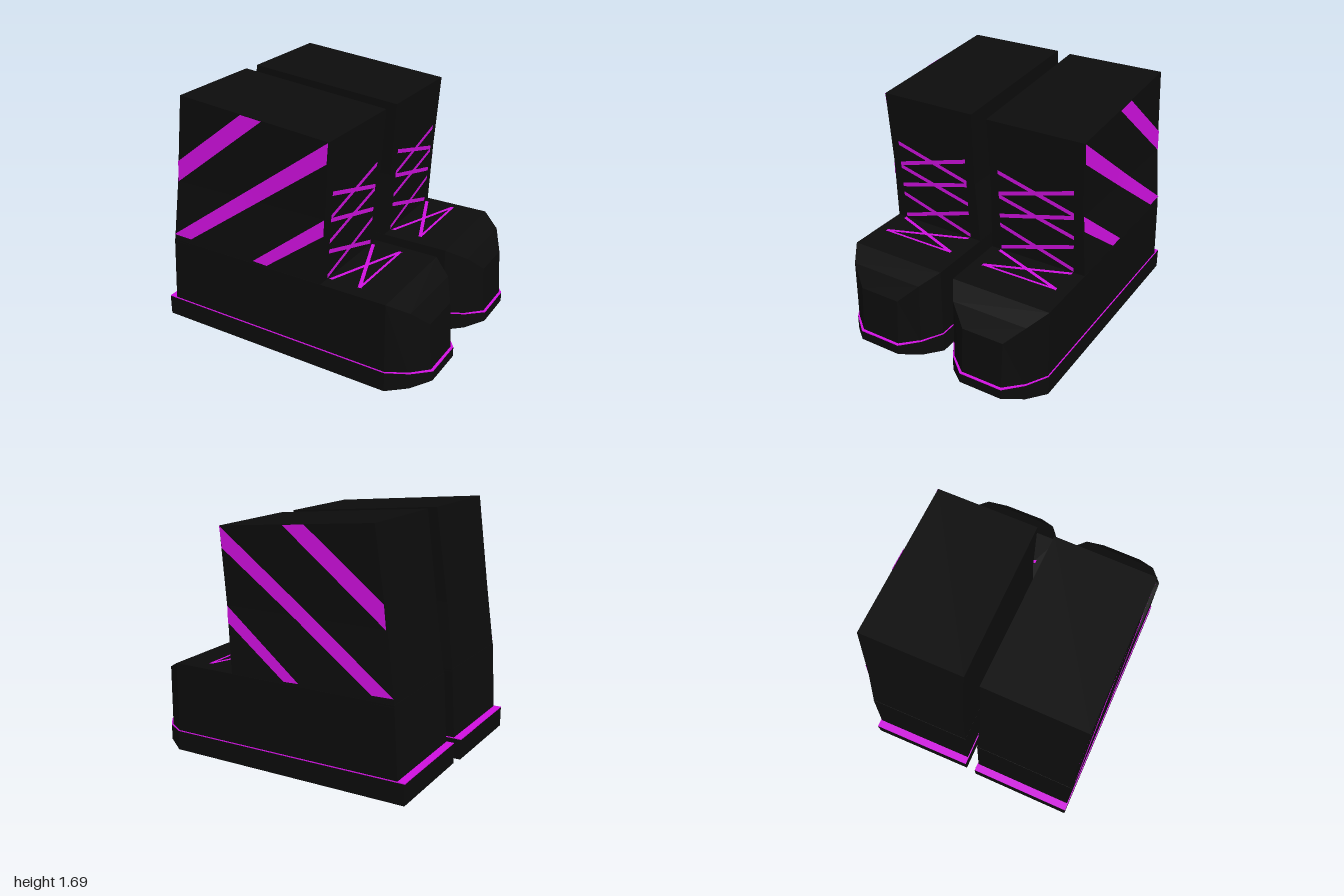
import * as THREE from 'three';

const black = new THREE.MeshStandardMaterial({ color: 0x0c0c0c, flatShading: true });
const magenta = new THREE.MeshStandardMaterial({ color: 0xd010e0, flatShading: true });
const ribbonMat = new THREE.MeshStandardMaterial({ color: 0xd010e0, side: THREE.DoubleSide });

// Closed flat-shaded solid through a list of four-cornered rings
function loft(name, rings, material) {
  const pos = [];
  const quad = (a, b, c, d) => pos.push(...a, ...b, ...c, ...a, ...c, ...d);
  for (let i = 0; i < rings.length - 1; i++) {
    const a = rings[i], b = rings[i + 1];
    for (let j = 0; j < 4; j++) {
      const k = (j + 1) % 4;
      quad(a[j], a[k], b[k], b[j]);
    }
  }
  quad(...[...rings[0]].reverse());
  quad(...rings[rings.length - 1]);
  const geo = new THREE.BufferGeometry();
  geo.setAttribute('position', new THREE.Float32BufferAttribute(pos, 3));
  geo.computeVertexNormals();
  const mesh = new THREE.Mesh(geo, material);
  mesh.name = name;
  return mesh;
}

// Thin band with corners a, b (start) and c, d (end), laid on a surface by map(u, v)
function ribbon(name, [a, b, c, d], map) {
  const geo = new THREE.PlaneGeometry(1, 1, 12, 1);
  const p = geo.attributes.position;
  const mix = THREE.MathUtils.lerp;
  for (let i = 0; i < p.count; i++) {
    const t = p.getX(i) + 0.5, s = p.getY(i) + 0.5;
    const u = mix(mix(a[0], b[0], s), mix(c[0], d[0], s), t);
    const v = mix(mix(a[1], b[1], s), mix(c[1], d[1], s), t);
    p.setXYZ(i, ...map(u, v));
  }
  geo.computeVertexNormals();
  const mesh = new THREE.Mesh(geo, ribbonMat);
  mesh.name = name;
  return mesh;
}

// Rectangular section across the foot: x, bottom, top, half width
const across = (x, b, t, w, xTop = x) => [[x, b, w], [x, b, -w], [xTop, t, -w], [xTop, t, w]];

// Shaft half width and front face by height
const MID = 1.08;
const shaftHalf = (y) => y < MID
  ? THREE.MathUtils.mapLinear(y, 0.63, MID, 0.352, 0.337)
  : THREE.MathUtils.mapLinear(y, MID, 1.69, 0.337, 0.347);
const shaftFront = (y) => THREE.MathUtils.mapLinear(y, 0.63, 1.59, 0.275, 0.345);
const level = (xb, yb, xf, yf) => {
  const wb = shaftHalf(yb), wf = shaftHalf(yf);
  return [[xb, yb, wb], [xf, yf, wf], [xf, yf, -wf], [xb, yb, -wb]];
};

function boot(name, side) {
  const g = new THREE.Group();
  g.name = name;

  // Sole with its coloured upper ledge
  const sole = [
    [-0.985, 0.025, 0.165, 0.36], [0.745, 0.005, 0.14, 0.362],
    [0.88, 0.022, 0.128, 0.275], [0.982, 0.045, 0.113, 0.155],
  ];
  g.add(loft('sole', sole.map((s) => across(...s)), black));
  g.add(loft('welt', sole.map(([x, , t, w]) => across(x, t - 0.002, t + 0.005, w - 0.001)), magenta));

  // Foot with bevelled toe cap
  g.add(loft('foot', [
    across(-0.935, 0.13, 0.64, 0.352, -0.902),
    across(0.74, 0.12, 0.628, 0.354),
    across(0.872, 0.11, 0.56, 0.267, 0.868),
    across(0.967, 0.1, 0.445, 0.147, 0.945),
  ], black));

  // Ankle shaft, leaning back at the heel
  g.add(loft('shaft', [
    level(-0.902, 0.625, 0.275, 0.62),
    level(-0.842, MID, shaftFront(MID), MID),
    level(-0.755, 1.692, 0.345, 1.59),
  ], black));

  // Diagonal stripes on the outer side
  const onSide = (x, y) => [x, y, side * (shaftHalf(y) + 0.005)];
  [
    [[-0.835, 1.08], [-0.82, 1.23], [-0.13, 1.632], [-0.285, 1.647]],
    [[-0.755, 0.675], [-0.897, 0.68], [0.328, 1.45], [0.342, 1.588]],
    [[-0.13, 0.65], [-0.24, 0.655], [0.299, 0.97], [0.304, 1.08]],
  ].forEach((q) => g.add(ribbon('sideStripe', q, onSide)));

  // Crossed laces up the shaft
  const onFront = (z, y) => [shaftFront(y) + 0.006, y, z];
  const h = 0.015;
  for (const [lo, hi] of [[0.655, 0.835], [0.905, 1.055], [1.075, 1.235]]) {
    for (const s of [1, -1]) {
      g.add(ribbon('shaftLace', [
        [-0.275 * s, lo - h], [-0.275 * s, lo + h], [0.275 * s, hi - h], [0.275 * s, hi + h],
      ], onFront));
    }
  }

  // Laces on top of the foot
  const onFoot = (x, z) => [x, 0.641, z];
  for (const [x0, x1] of [[0.305, 0.515], [0.515, 0.305], [0.515, 0.515]]) {
    const k = x0 === x1 ? 0.009 : 0.013;
    g.add(ribbon('footLace', [
      [x0 - k, -0.275], [x0 + k, -0.275], [x1 - k, 0.275], [x1 + k, 0.275],
    ], onFoot));
  }
  return g;
}

export function createModel() {
  const model = new THREE.Group();
  model.name = 'boots';
  const near = boot('rightBoot', 1);
  near.position.set(-0.014, 0, 0.4);
  near.rotation.y = -0.02;
  const far = boot('leftBoot', -1);
  far.position.set(0.012, 0, -0.408);
  far.rotation.y = -0.009;
  model.add(near, far);
  return model;
}
